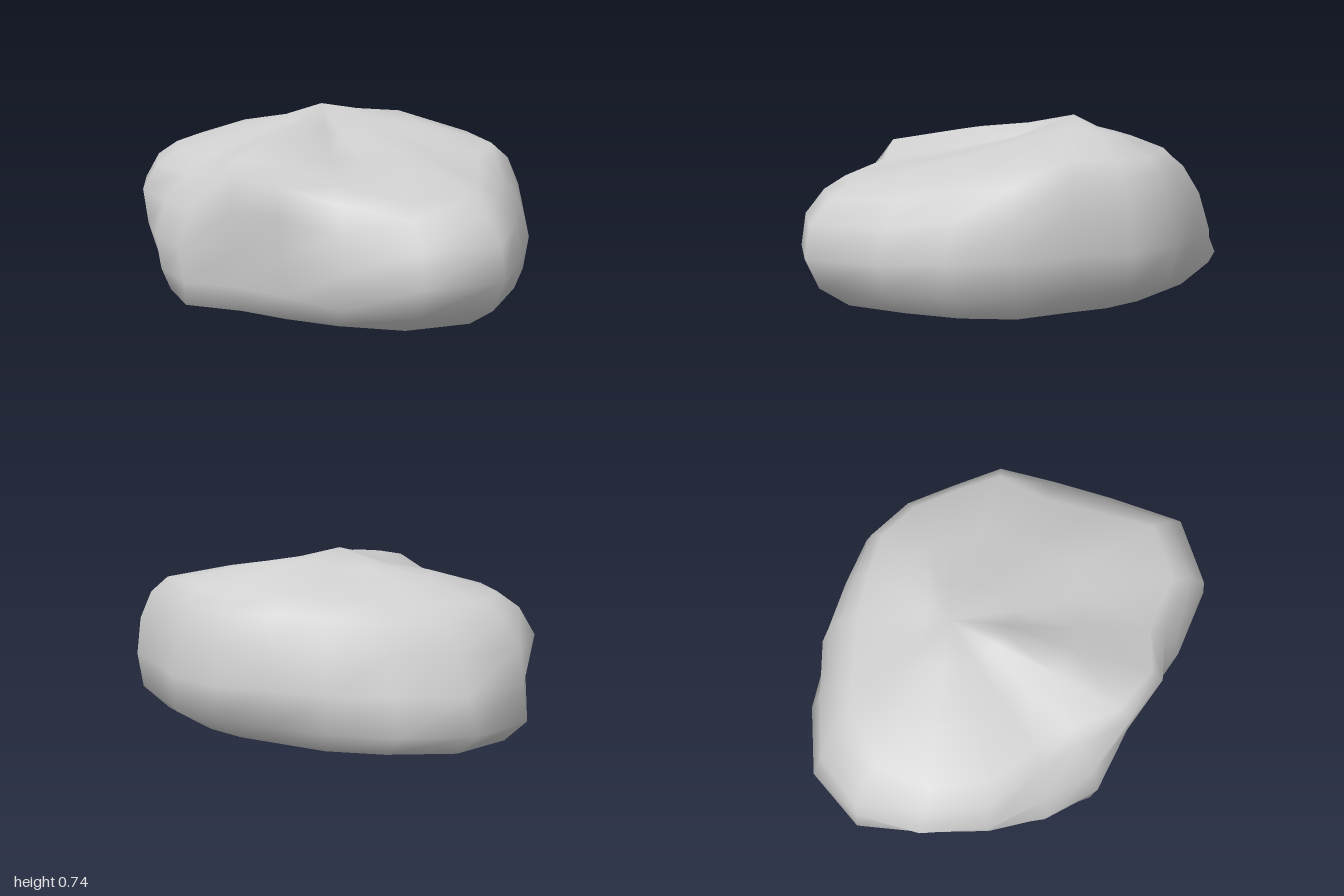
import * as THREE from 'three';

// Plan outline radius, rim height and crown height every 18 degrees, from +x round through +z
const outline = [.92, 1.05, 1.0, .86, .765, .735, .795, .805, .865, .935, .985, .965, .87, .795, .735, .755, .76, .74, .82, .87];
const rim = [.51, .50, .50, .54, .61, .62, .58, .56, .56, .56, .56, .56, .57, .59, .60, .60, .60, .61, .59, .56];
const crown = [.61, .58, .57, .59, .665, .67, .63, .63, .63, .64, .64, .63, .63, .64, .66, .68, .69, .67, .65, .63];
const N = outline.length;

// Side profile: share of the rim height, share of the outline
const profile = [[0, .85], [.17, .97], [.42, 1], [.69, .97], [.89, .89], [1, .78]];
// Local changes to the profile: centre angle, width, change per level
const lobes = [
  [80, 20, [.03, -.06, -.07, 0, .11, .15]],        // overhanging front ridge
  [114, 18, [.12, .01, 0, -.05, -.12, -.09]],      // front-left foot
  [154, 16, [-.03, -.09, -.06, .02, .03, .03]],    // overhanging left front
  [57, 11, [0, 0, -.03, -.06, -.07, -.06]],        // gully beside the ridge
  [30, 28, [-.03, -.03, 0, .01, .01, .03]],        // front-right bulge
  [348, 12, [-.02, -.02, -.03, -.06, -.08, -.09]], // gully behind the bulge
  [186, 24, [.06, .04, -.01, 0, 0, .03]],          // left flank
  [212, 20, [0, .02, -.07, -.11, -.10, -.08]],     // sloping back-left shoulder
  [240, 14, [0, 0, 0, -.02, -.04, -.04]],          // hollow in the back
  [278, 35, [-.09, .01, 0, 0, .02, .05]],          // undercut back
  [316, 16, [0, 0, 0, .01, .03, .05]],             // back-right corner
];

function createRockGeometry() {
  const peak = new THREE.Vector3(-.16, .74, -.11);
  const pos = [], index = [];
  const add = v => pos.push(v.x, v.y, v.z);

  const sidePoint = (i, level) => {
    const deg = i * 360 / N, a = THREE.MathUtils.degToRad(deg);
    let share = profile[level][1];
    for (const [centre, width, change] of lobes) {
      const d = (THREE.MathUtils.euclideanModulo(deg - centre + 180, 360) - 180) / width;
      share += change[level] * Math.exp(-d * d);
    }
    const r = outline[i] * share;
    return new THREE.Vector3(r * Math.cos(a), rim[i] * profile[level][0], r * Math.sin(a));
  };

  // Rings from the underside, up the flanks and over the crown
  const rings = [];
  rings.push(i => sidePoint(i, 0).multiplyScalar(.92));
  profile.forEach((_, level) => rings.push(i => sidePoint(i, level)));
  rings.push(i => {
    const p = sidePoint(i, 5).lerp(peak, .38);
    p.y = crown[i];
    return p;
  });
  rings.push(i => {
    const p = sidePoint(i, 5).lerp(peak, .72);
    p.y = THREE.MathUtils.lerp(crown[i], peak.y, .4);
    return p;
  });
  rings.forEach(ring => { for (let i = 0; i < N; i++) add(ring(i)); });

  const bottom = rings.length * N, top = bottom + 1;
  add(new THREE.Vector3());
  add(peak);

  for (let i = 0; i < N; i++) {
    const j = (i + 1) % N, last = (rings.length - 1) * N;
    for (let k = 0; k < rings.length - 1; k++) {
      const a = k * N + i, b = k * N + j, c = a + N, d = b + N;
      index.push(a, c, b, b, c, d);
    }
    index.push(bottom, i, j);
    index.push(top, last + j, last + i);
  }

  const geometry = new THREE.BufferGeometry();
  geometry.setAttribute('position', new THREE.Float32BufferAttribute(pos, 3));
  geometry.setIndex(index);
  geometry.computeVertexNormals();
  return geometry;
}

export function createModel() {
  const group = new THREE.Group();
  group.name = 'boulder';
  const stone = new THREE.MeshStandardMaterial({ color: 0xd0d0d0 });
  stone.name = 'stone grey';
  const rock = new THREE.Mesh(createRockGeometry(), stone);
  rock.name = 'rock';
  group.add(rock);
  return group;
}
